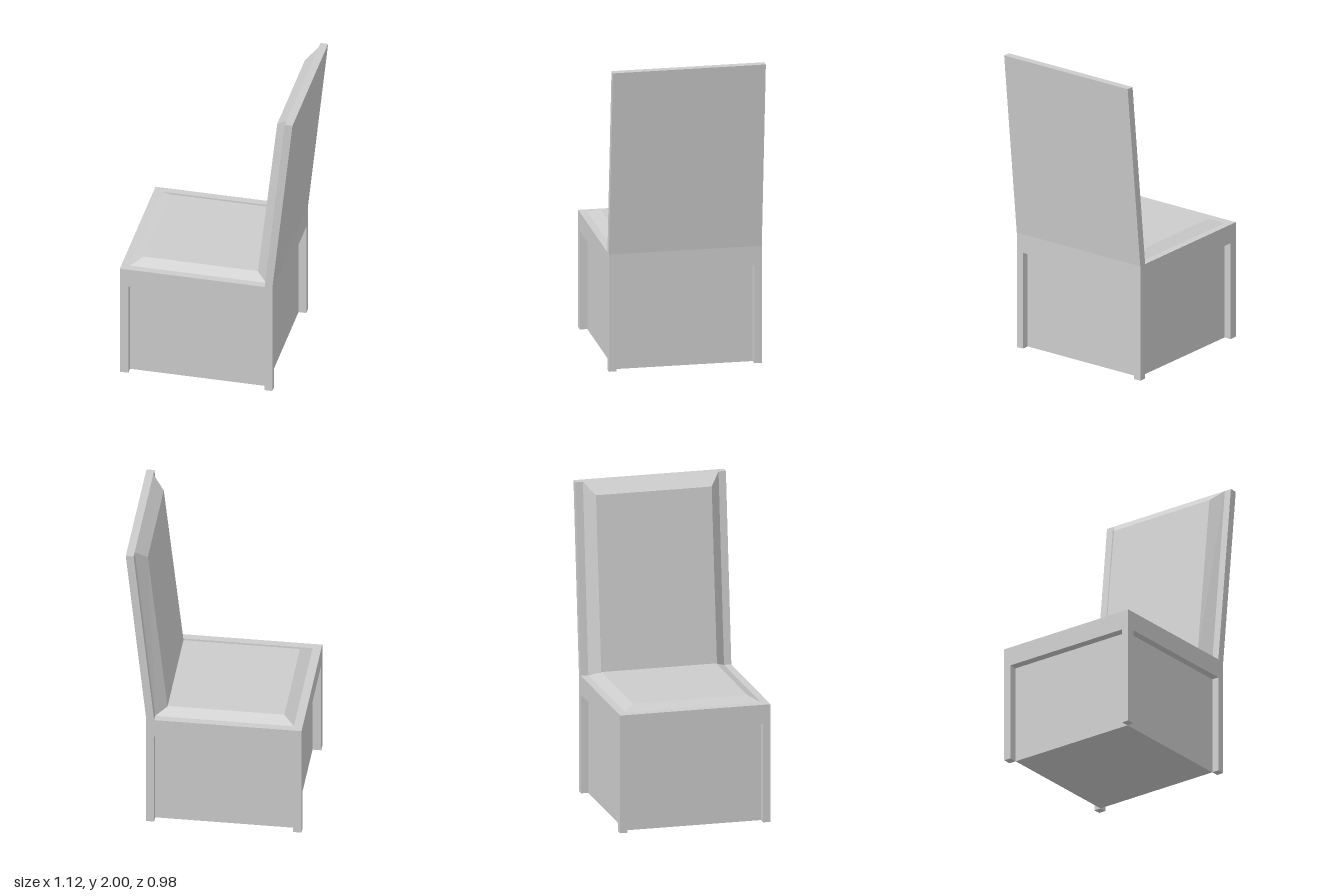
import * as THREE from 'three';

const material = new THREE.MeshStandardMaterial({ color: 0xcccccc, flatShading: true });

// A box whose eight corners are placed by a rule: corner(right, upper, sideSign) -> [x, y, z]
function block(name, corner) {
  const geometry = new THREE.BoxGeometry(1, 1, 1);
  const p = geometry.attributes.position;
  for (let i = 0; i < p.count; i++) {
    p.setXYZ(i, ...corner(p.getX(i) > 0, p.getY(i) > 0, Math.sign(p.getZ(i))));
  }
  geometry.computeVertexNormals();
  const mesh = new THREE.Mesh(geometry, material);
  mesh.name = name;
  return mesh;
}

const straight = (name, x0, x1, y0, y1, z0, z1) =>
  block(name, (r, u, s) => [r ? x1 : x0, u ? y1 : y0, s > 0 ? z1 : z0]);

export function createModel() {
  const chair = new THREE.Group();
  chair.name = 'chair';

  // Outer footprint, and the inner outline shared by panels and cushions
  const x0 = -0.56, x1 = 0.425, z = 0.49;
  const ix0 = -0.505, ix1 = 0.375, iz = 0.442;
  const apronY = 0.645, seatY = 0.77, topY = 2;

  // Seat frame and the recessed solid base beneath it
  chair.add(straight('seatFrame', x0, x1, apronY, seatY, -z, z));
  chair.add(straight('basePanels', ix0, ix1, 0, apronY, -iz, iz));

  // Corner legs
  for (const [end, a, b] of [['front', x0, ix0], ['back', ix1, x1]]) {
    chair.add(straight(end + 'LegA', a, b, 0, apronY, iz, z));
    chair.add(straight(end + 'LegB', a, b, 0, apronY, -z, -iz));
  }

  // Seat cushion with bevelled edges
  chair.add(block('seatCushion', (r, u, s) => u
    ? [r ? 0.305 : -0.435, 0.805, s * 0.372]
    : [r ? ix1 : ix0, seatY, s * iz]));

  // Reclined backrest slab
  chair.add(block('backrest', (r, u, s) => u
    ? [r ? 0.555 : 0.505, topY, s * z]
    : [r ? x1 : ix1, seatY, s * z]));

  // Backrest cushion, bevelled towards the sitter
  chair.add(block('backCushion', (r, u, s) => r
    ? [u ? 0.505 : ix1, u ? topY : seatY, s * iz]
    : [u ? 0.43 : 0.305, u ? 1.927 : 0.805, s * 0.377]));

  return chair;
}
